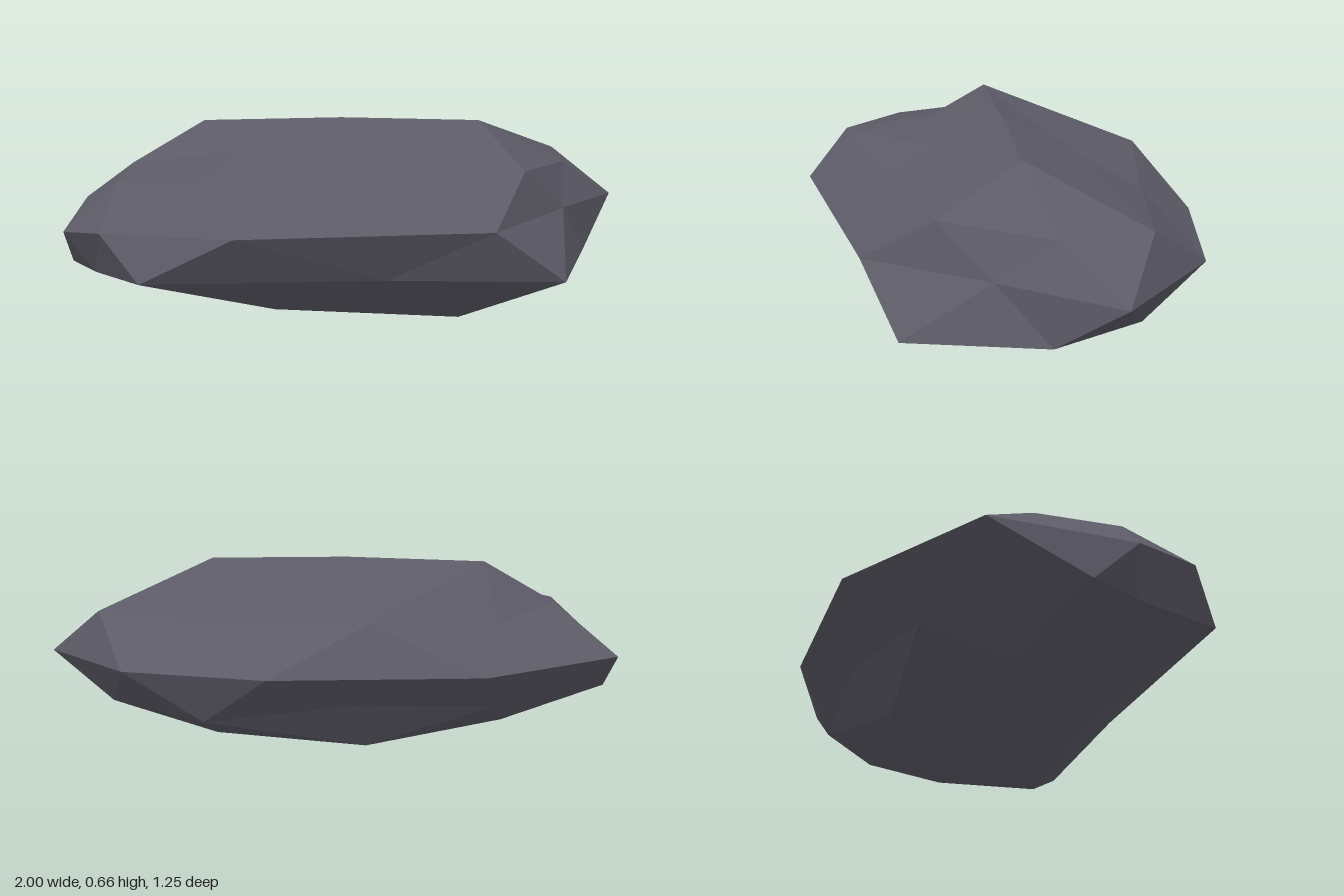
import * as THREE from 'three';

// Rings run from +x towards +z, every 36 degrees (rings) or 72 degrees (caps).
const equator = [[1, .35, 0], [.69, .36, .3], [.33, .35, .62], [-.5, .36, .59], [-.89, .35, .35],
  [-1, .31, .09], [-.91, .35, -.36], [-.39, .35, -.63], [.3, .35, -.58], [.75, .35, -.39]];
const shoulder = [[.76, .495, .12], [.5, .51, .42], [-.04, .48, .42], [-.58, .51, .42], [-.82, .48, .14],
  [-.75, .505, -.13], [-.5, .47, -.34], [-.03, .51, -.52], [.37, .48, -.35], [.83, .51, -.16]];
const belly = [[.83, .18, .165], [.59, .165, .575], [0, .19, .52], [-.78, .21, .48], [-.9, .18, .14],
  [-.97, .18, -.05], [-.47, .2, -.4], [-.02, .235, -.465], [.49, .18, -.41], [.79, .2, -.15]];
const crown = [[.44, .65, .11], [-.04, .57, .25], [-.42, .57, .14], [-.5, .65, -.11], [.2, .56, -.2]];
const base = [[.3, .005, .345], [-.32, .05, .27], [-.57, .08, -.12], [-.05, .065, -.345], [.44, .075, -.15]];
const topPoint = [-.03, .66, 0];
const bottomPoint = [-.03, .015, 0];

// Facets of one half: equator to ring, ring to cap, cap to pole.
function addHalf(out, ring, cap, pole, shift, flip) {
  const tri = (a, b, c) => out.push(...a, ...(flip ? c : b), ...(flip ? b : c));
  const r = (i) => ring[(i + 10) % 10];
  for (let i = 0; i < 10; i++) {
    tri(equator[(i + 1) % 10], equator[i], r(i));
    tri(equator[i], r(i - 1), r(i));
  }
  for (let k = 0; k < 5; k++) {
    const a = cap[k], b = cap[(k + 1) % 5], j = 2 * k + shift;
    tri(r(j + 1), r(j), a);
    tri(r(j + 2), r(j + 1), b);
    tri(r(j + 1), a, b);
    tri(b, a, pole);
  }
}

export function createModel() {
  const group = new THREE.Group();
  group.name = 'rock';
  const stone = new THREE.MeshStandardMaterial({ color: 0x5c5a66 });
  stone.name = 'slate grey stone';
  stone.flatShading = true;

  // Faceted boulder
  const points = [];
  addHalf(points, shoulder, crown, topPoint, 0, false);
  addHalf(points, belly, base, bottomPoint, 1, true);
  const geometry = new THREE.BufferGeometry();
  geometry.setAttribute('position', new THREE.Float32BufferAttribute(points, 3));
  geometry.computeVertexNormals();
  geometry.translate(0, -.005, 0);

  const boulder = new THREE.Mesh(geometry, stone);
  boulder.name = 'boulder';
  group.add(boulder);
  return group;
}
